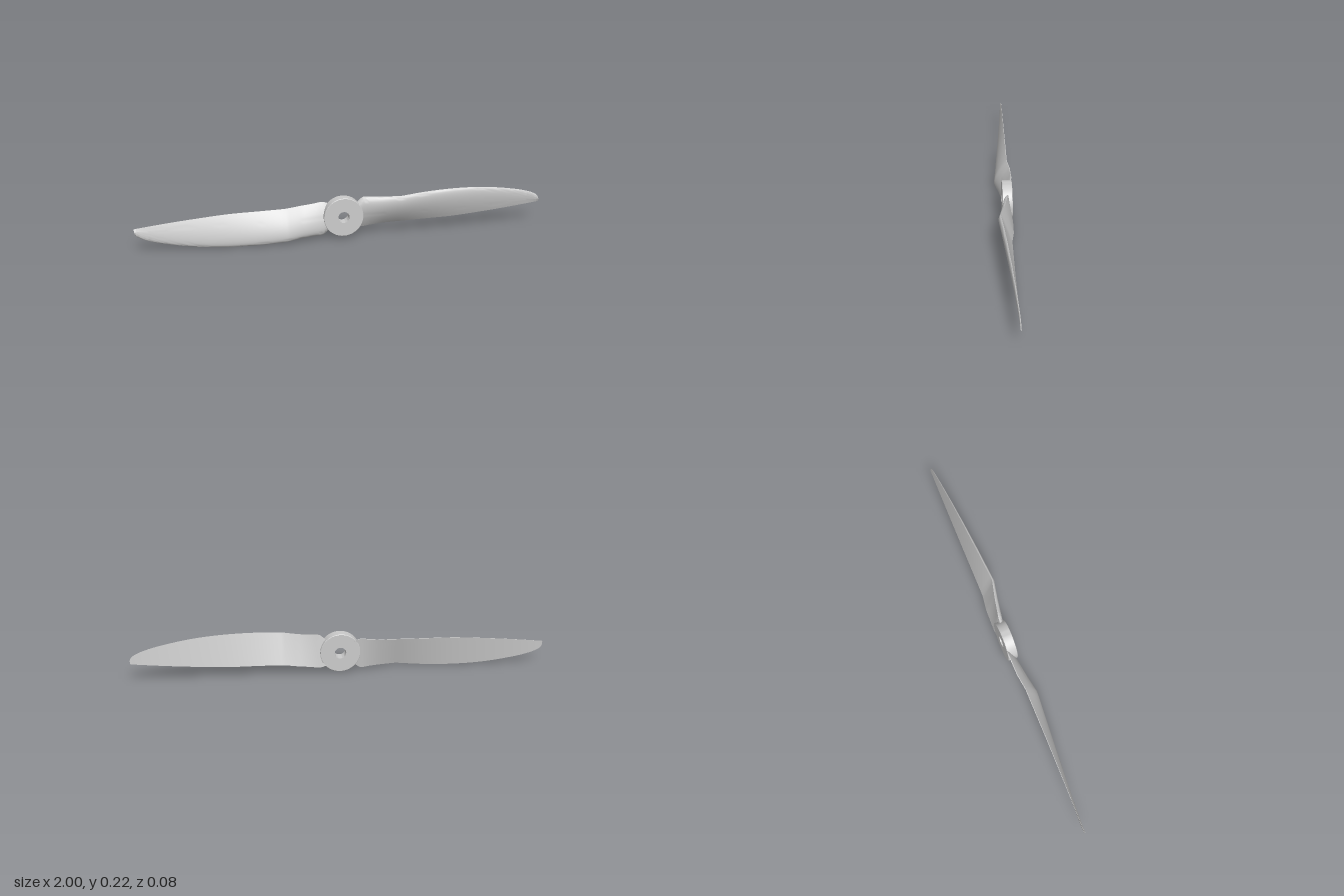
import * as THREE from 'three';
import { toCreasedNormals } from 'three/addons/utils/BufferGeometryUtils.js';

const AXIS_Y = 0.113;
const material = new THREE.MeshStandardMaterial({ color: 0xcccccc });

// Blade stations: x, then trailing y, leading y / trailing z, leading z, thickness
const STATION_X = [0.062, 0.08, 0.1, 0.14, 0.2, 0.28, 0.4, 0.55, 0.7, 0.83, 0.93, 0.98, 0.995, 1];
const OUTLINE = [
  0.055, 0.172, 0.047, 0.190, 0.043, 0.204, 0.048, 0.204, 0.054, 0.205, 0.060, 0.210, 0.063, 0.219,
  0.066, 0.222, 0.077, 0.214, 0.089, 0.195, 0.100, 0.172, 0.106, 0.151, 0.108, 0.138, 0.110, 0.126,
];
const DEPTH_X = [0.06, 0.1, 0.2, 0.28, 0.55, 1];
const DEPTH = [
  -0.038, -0.018, 0.022, -0.040, -0.015, 0.027, -0.038, 0.006, 0.027,
  -0.027, 0.026, 0.024, -0.027, 0.005, 0.018, -0.029, -0.027, 0.005,
];

// Flat-backed aerofoil ring: over the front from leading to trailing edge, back along the flat
function section(x, outline, depth) {
  const [yT, yL] = outline.evaluate(x);
  const [zT, zL, t] = depth.evaluate(x);
  const normal = new THREE.Vector2(zT - zL, yL - yT).normalize();
  const ring = [];
  const add = (u, h) => ring.push([
    x,
    THREE.MathUtils.lerp(yL, yT, u) + normal.x * h,
    THREE.MathUtils.lerp(zL, zT, u) + normal.y * h,
  ]);
  const front = 18, back = 6;
  for (let i = 0; i <= front; i++) {
    const u = (1 - Math.cos((Math.PI * i) / front)) / 2;
    add(u, t * (2.6 * Math.sqrt(u) * (1 - u) + 0.12 * u));
  }
  for (let i = 0; i < back; i++) add(1 - i / back, 0);
  return ring;
}

// Loft the rings along x and cap both ends
function bladeGeometry() {
  const outline = new THREE.CubicInterpolant(STATION_X, OUTLINE, 2, new Float32Array(2));
  const depth = new THREE.LinearInterpolant(DEPTH_X, DEPTH, 3, new Float32Array(3));
  const rings = [];
  const steps = 5;
  for (let s = 0; s < STATION_X.length - 1; s++)
    for (let k = 0; k < steps; k++)
      rings.push(section(THREE.MathUtils.lerp(STATION_X[s], STATION_X[s + 1], k / steps), outline, depth));
  rings.push(section(1, outline, depth));

  const n = rings[0].length, last = (rings.length - 1) * n;
  const index = [];
  for (let i = 0; i < rings.length - 1; i++)
    for (let j = 0; j < n; j++) {
      const a = i * n + j, b = i * n + ((j + 1) % n);
      index.push(a, b, b + n, a, b + n, a + n);
    }
  for (let j = 1; j < n - 1; j++) {
    index.push(last, last + j, last + j + 1);
    index.push(0, j + 1, j);
  }
  const geometry = new THREE.BufferGeometry();
  geometry.setAttribute('position', new THREE.Float32BufferAttribute(rings.flat(2), 3));
  geometry.setIndex(index);
  geometry.translate(0, -AXIS_Y, 0);
  return toCreasedNormals(geometry, 0.7);
}

// Round hub with a through bore and slightly broken edges
function hubGeometry() {
  const R = 0.097, r = 0.028, back = -0.038, front = 0.01, c = 0.002;
  const profile = [
    [r, back], [R - c, back], [R, back + c], [R, front - c], [R - c, front], [r, front], [r, back],
  ].map(([x, y]) => new THREE.Vector2(x, y));
  const geometry = new THREE.LatheGeometry(profile, 64).rotateX(Math.PI / 2);
  return toCreasedNormals(geometry, 0.5);
}

export function createModel() {
  const propeller = new THREE.Group();
  propeller.name = 'propeller';
  propeller.position.y = AXIS_Y;

  const hub = new THREE.Mesh(hubGeometry(), material);
  hub.name = 'hub';
  propeller.add(hub);

  // Two identical blades, half a turn apart
  const geometry = bladeGeometry();
  ['leftBlade', 'rightBlade'].forEach((name, i) => {
    const blade = new THREE.Mesh(geometry, material);
    blade.name = name;
    blade.rotation.z = i * Math.PI;
    propeller.add(blade);
  });

  const model = new THREE.Group();
  model.name = 'model';
  model.add(propeller);
  return model;
}
